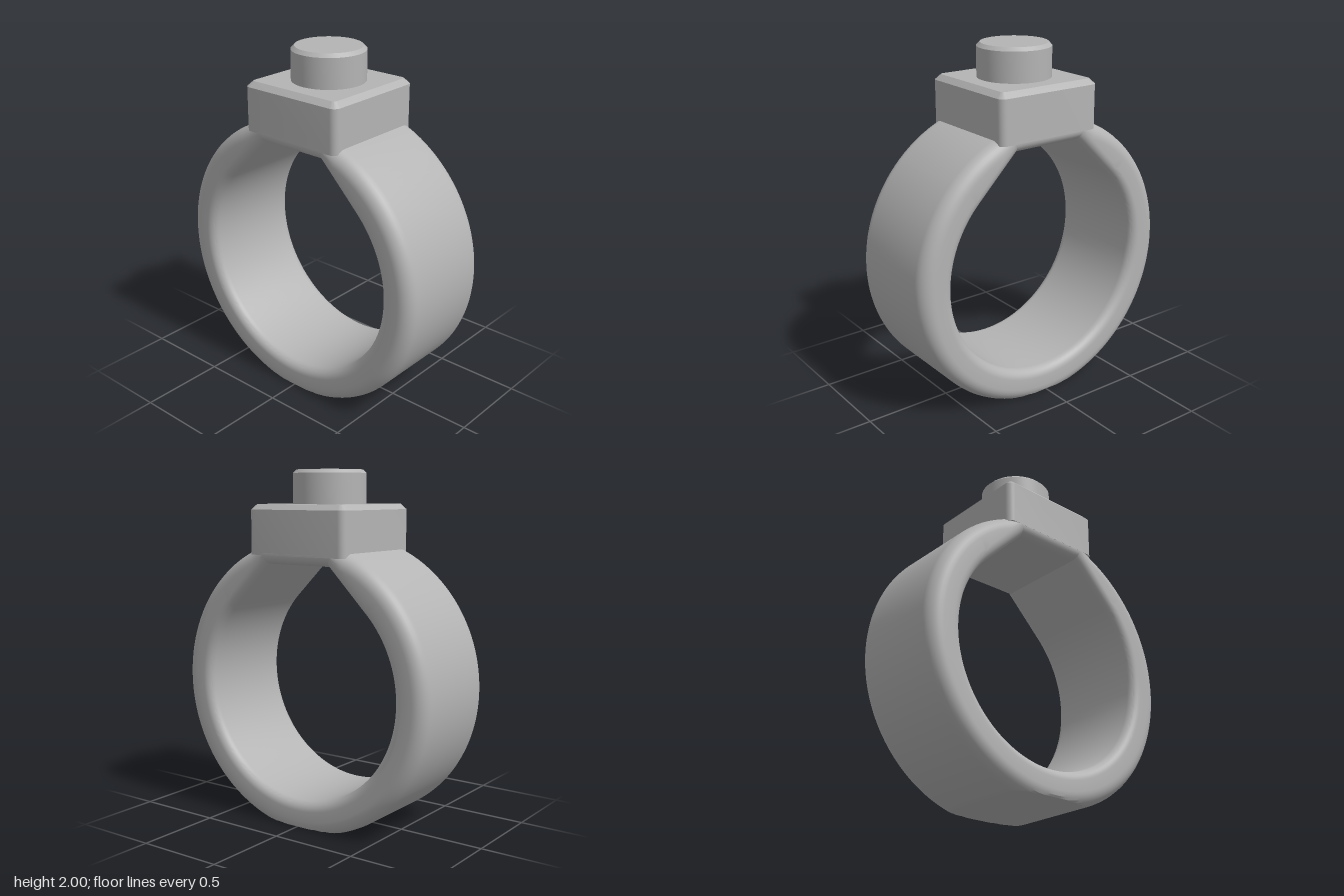
import * as THREE from 'three';
import { toCreasedNormals } from 'three/addons/utils/BufferGeometryUtils.js';

const CY = 0.79;        // height of the ring centre
const R_OUT = 0.83, R_IN = 0.635, HOLE_TOP = 0.69;
const HALF = 0.325;     // half width of band and block
const F_IN = 0.055, F_OUT = 0.08; // edge rounding radii
const Q = Math.PI / 4;
const cornerX = (d) => Math.SQRT2 * (R_IN + d) - (HOLE_TOP + d);
const PC = Math.atan(cornerX(0) / HOLE_TOP);

// Hole outline grown by d: round below, 45 degree shoulders, flat top
function holePoint(phi, d) {
  const a = Math.abs(phi), s = Math.sign(phi), c = R_IN + d, h = HOLE_TOP + d;
  if (a >= Q) return [Math.sin(phi) * c, Math.cos(phi) * c];
  const cx = cornerX(d);
  if (a <= PC) return [s * cx * Math.tan(a) / Math.tan(PC), h];
  const t = (a - PC) / (Q - PC), e = c / Math.SQRT2;
  return [s * (cx + (e - cx) * t), h + (e - h) * t];
}

// One cross-section of the band, running inner, front, outer, back
function bandSection(phi) {
  const n = 8, front = [];
  const [fx, fy] = holePoint(phi, F_IN);
  const inset = Math.min(F_OUT, R_OUT - Math.hypot(fx, fy) - 0.005);
  for (let i = 0; i <= n; i++) {
    const a = (i / n) * Math.PI / 2;
    const [x, y] = holePoint(phi, F_IN * (1 - Math.cos(a)));
    front.push([x, y + CY, HALF - F_IN * (1 - Math.sin(a))]);
  }
  for (let i = 0; i <= n; i++) {
    const a = (i / n) * Math.PI / 2;
    const r = R_OUT - inset * (1 - Math.sin(a));
    front.push([Math.sin(phi) * r, Math.max(0, CY + Math.cos(phi) * r),
      HALF - inset * (1 - Math.cos(a))]);
  }
  return front.concat(front.map(([x, y, z]) => [x, y, -z]).reverse());
}

function bandGeometry() {
  const foot = Math.PI - Math.acos(CY / R_OUT);
  const stops = [-Math.PI, -foot, -Q, -PC, PC, Q, foot, Math.PI];
  const steps = [12, 72, 8, 10, 8, 72, 12];
  const sections = [];
  steps.forEach((n, k) => {
    for (let i = 0; i < n; i++) {
      sections.push(bandSection(stops[k] + (stops[k + 1] - stops[k]) * i / n));
    }
  });
  const N = sections.length, M = sections[0].length, index = [];
  for (let i = 0; i < N; i++) {
    for (let j = 0; j < M; j++) {
      const i2 = (i + 1) % N, j2 = (j + 1) % M;
      const a = i * M + j, b = i2 * M + j, c = i * M + j2, d = i2 * M + j2;
      index.push(a, b, d, a, d, c);
    }
  }
  const g = new THREE.BufferGeometry();
  g.setAttribute('position', new THREE.Float32BufferAttribute(sections.flat(2), 3));
  g.setIndex(index);
  return toCreasedNormals(g, 0.3);
}

// Square block with rounded upright edges and a chamfered top
function blockGeometry() {
  const y0 = 1.53, y1 = 1.78, y2 = 1.81, n = 6;
  const outline = (h, r) => {
    const pts = [];
    for (let k = 0; k < 4; k++) {
      for (let i = 0; i <= n; i++) {
        const a = (k + i / n) * Math.PI / 2, m = (k + 0.5) * Math.PI / 2;
        pts.push([Math.sign(Math.cos(m)) * (h - r) + Math.cos(a) * r,
          Math.sign(Math.sin(m)) * (h - r) + Math.sin(a) * r]);
      }
    }
    return pts;
  };
  const wide = outline(HALF, 0.04), narrow = outline(HALF - 0.03, 0.02);
  const M = wide.length, index = [];
  const pos = [[wide, y0], [wide, y1], [narrow, y2]]
    .flatMap(([o, y]) => o.flatMap(([x, z]) => [x, y, z]));
  pos.push(0, y0, 0, 0, y2, 0);
  for (let j = 0; j < M; j++) {
    const k = (j + 1) % M;
    for (let l = 0; l < 2; l++) {
      const a = l * M + j, b = l * M + k;
      index.push(a, a + M, b + M, a, b + M, b);
    }
    index.push(3 * M, j, k, 3 * M + 1, 2 * M + k, 2 * M + j);
  }
  const g = new THREE.BufferGeometry();
  g.setAttribute('position', new THREE.Float32BufferAttribute(pos, 3));
  g.setIndex(index);
  return toCreasedNormals(g, 0.5);
}

// Round post with a chamfered rim
function postGeometry() {
  const profile = [[0, 1.79], [0.207, 1.79], [0.207, 1.98], [0.187, 2], [0, 2]]
    .map(([x, y]) => new THREE.Vector2(x, y));
  return toCreasedNormals(new THREE.LatheGeometry(profile, 64), 0.5);
}

export function createModel() {
  const grey = new THREE.MeshStandardMaterial({ color: 0xb4b4b4 });
  grey.name = 'grey';
  const group = new THREE.Group();
  group.name = 'ring';
  const add = (name, geometry) => {
    const mesh = new THREE.Mesh(geometry, grey);
    mesh.name = name;
    group.add(mesh);
  };
  add('band', bandGeometry());
  add('block', blockGeometry());
  add('post', postGeometry());
  return group;
}
